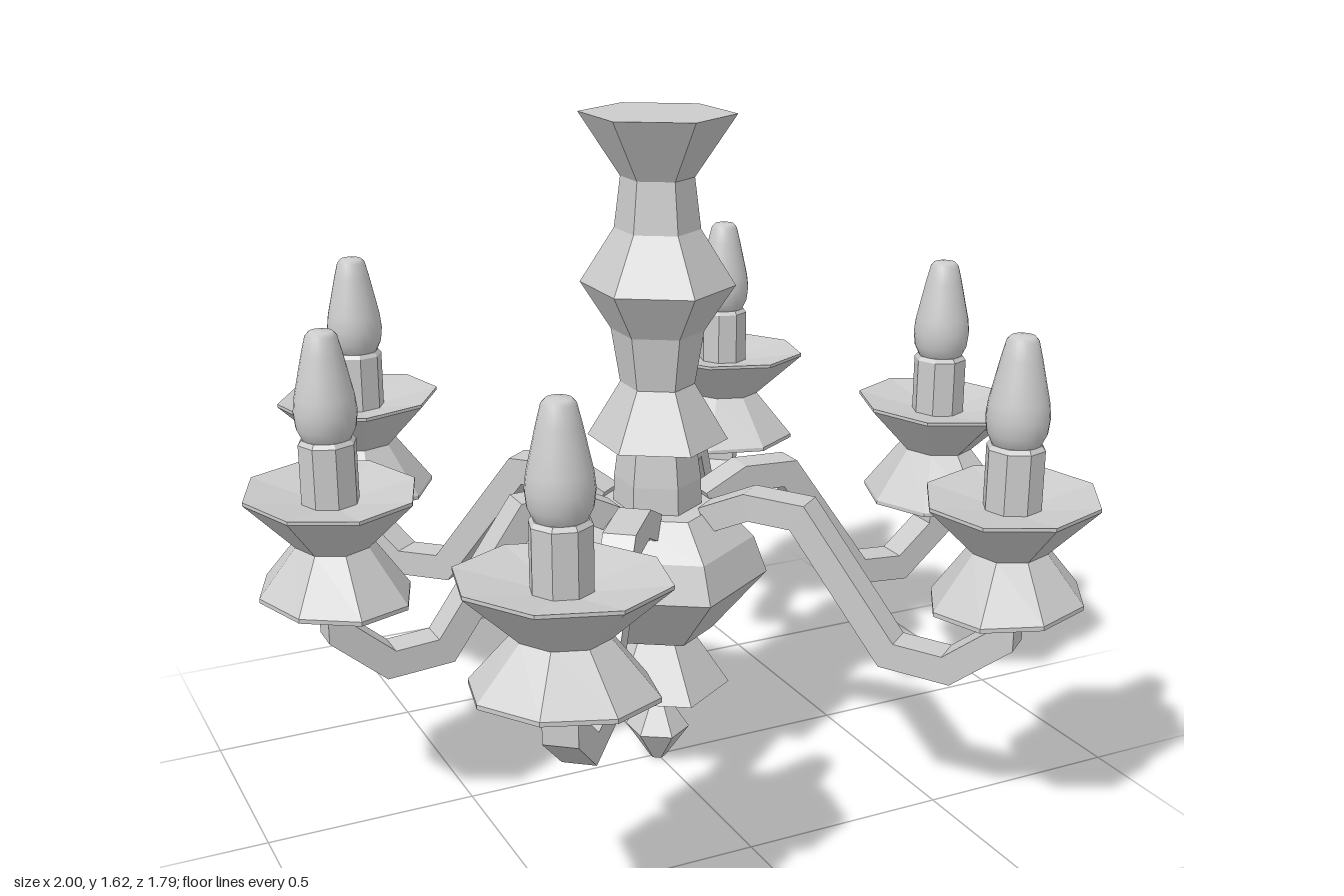
import * as THREE from 'three';

const flat = new THREE.MeshStandardMaterial({ color: 0xcccccc, flatShading: true, side: THREE.DoubleSide });
const smooth = new THREE.MeshStandardMaterial({ color: 0xcccccc, side: THREE.DoubleSide });

// Turned part from [radius, height] pairs, listed bottom to top
function turned(name, profile, sides, material = flat) {
  const pts = profile.map(([r, y]) => new THREE.Vector2(r, y));
  const mesh = new THREE.Mesh(new THREE.LatheGeometry(pts, sides), material);
  mesh.name = name;
  return mesh;
}

// Rectangular bar swept along a path in the xy plane with mitred corners
function bar(name, path, thickness, width) {
  const n = path.length - 1;
  const pts = path.map(([x, y]) => new THREE.Vector2(x, y));
  const dir = i => pts[i + 1].clone().sub(pts[i]).normalize();
  const offsets = pts.map((p, i) => {
    const a = dir(Math.max(i - 1, 0)), b = dir(Math.min(i, n - 1));
    const t = a.clone().add(b).normalize();
    return new THREE.Vector2(-t.y, t.x).divideScalar(t.dot(b));
  });
  const geo = new THREE.BoxGeometry(n, thickness, width, n, 1, 1);
  const pos = geo.attributes.position;
  for (let i = 0; i < pos.count; i++) {
    const k = Math.round(pos.getX(i) + n / 2), h = pos.getY(i);
    pos.setXY(i, pts[k].x + offsets[k].x * h, pts[k].y + offsets[k].y * h);
  }
  geo.computeVertexNormals();
  const mesh = new THREE.Mesh(geo, flat);
  mesh.name = name;
  return mesh;
}

// Drip cup: faceted double cone whose lower rim dips towards the centre
function dripCup() {
  const cup = turned('dripCup', [
    [0, 0.61], [0.2, 0.588], [0.2, 0.598], [0.1, 0.715], [0.225, 0.83], [0.225, 0.838], [0, 0.8],
  ], 8);
  const pos = cup.geometry.attributes.position;
  for (let i = 0; i < pos.count; i++) {
    if (pos.getY(i) < 0.605) pos.setY(i, pos.getY(i) + pos.getX(i) * 0.05);
  }
  cup.geometry.computeVertexNormals();
  cup.scale.x = 0.87;
  return cup;
}

// One arm pointing along +x, with cup, candle and bulb; reach is the cup radius
function branch(reach) {
  const g = new THREE.Group();
  const k = reach / 0.875;
  const path = [[0.14, 0.67], [0.25, 0.72], [0.38, 0.715], [0.61, 0.415], [0.755, 0.405], [0.875, 0.5], [0.875, 0.64]];
  g.add(bar('arm', path.map(([x, y]) => [x * k, y]), 0.065, 0.076));

  const light = new THREE.Group();
  light.name = 'candleLight';
  light.position.x = reach;
  light.add(
    dripCup(),
    turned('candle', [[0, 0.78], [0.066, 0.78], [0.066, 0.95], [0.058, 0.96], [0, 0.96]], 8),
    turned('bulb', [
      [0, 0.93], [0.03, 0.935], [0.052, 0.955], [0.066, 0.985], [0.07, 1.02], [0.066, 1.055],
      [0.056, 1.1], [0.045, 1.15], [0.035, 1.19], [0.026, 1.2], [0, 1.202],
    ], 24, smooth),
  );
  g.add(light);
  return g;
}

export function createModel() {
  const model = new THREE.Group();
  model.name = 'chandelier';

  // Central hexagonal column, slightly narrower across x
  const column = new THREE.Group();
  column.name = 'column';
  column.scale.x = 0.92;
  column.add(
    turned('finial', [[0, 0], [0.022, 0], [0.085, 0.085], [0.02, 0.175]], 6),
    turned('lowerCollar', [[0, 0.17], [0.04, 0.17], [0.19, 0.215], [0.095, 0.345], [0, 0.345]], 6),
    turned('body', [[0, 0.345], [0.1, 0.345], [0.145, 0.36], [0.285, 0.515], [0.25, 0.605], [0.165, 0.685], [0, 0.685]], 6),
    turned('neck', [[0.115, 0.67], [0.112, 0.75], [0.1, 0.835]], 6),
    turned('stem', [
      [0, 0.835], [0.1, 0.835], [0.18, 0.85], [0.095, 0.985], [0.118, 1.115], [0.195, 1.225],
      [0.108, 1.355], [0.092, 1.475], [0.195, 1.62], [0, 1.62],
    ], 6),
  );
  model.add(column);

  // Six branches: one on each side, four diagonal
  for (const deg of [0, 52, 128, 180, 232, 308]) {
    const b = branch(deg % 180 === 0 ? 0.804 : 0.87);
    b.name = 'branch';
    b.rotation.y = -THREE.MathUtils.degToRad(deg);
    model.add(b);
  }
  return model;
}
